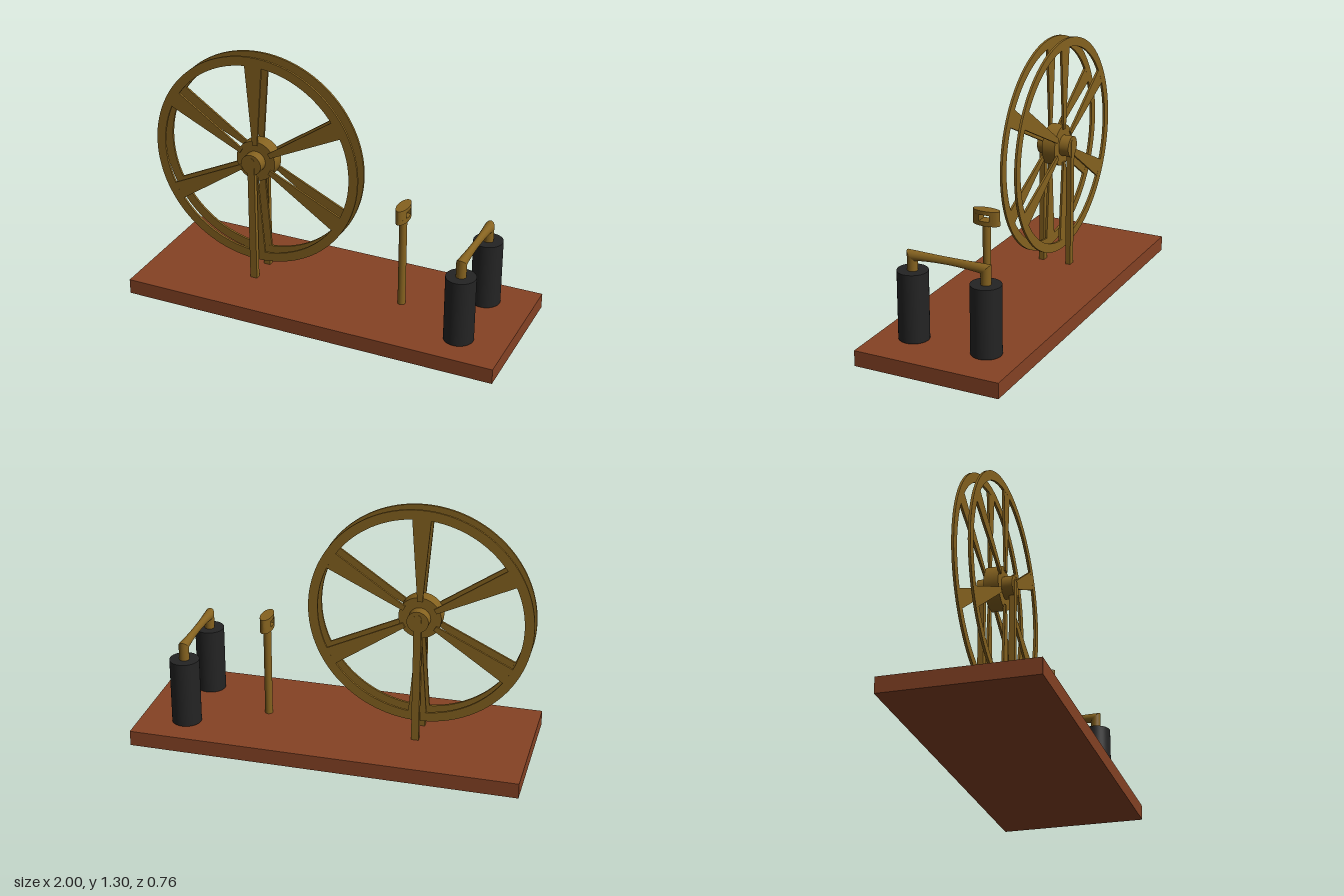
import * as THREE from 'three';

const brass = new THREE.MeshStandardMaterial({ color: 0x85621f });
brass.name = 'brass';
const wood = new THREE.MeshStandardMaterial({ color: 0x854224 });
wood.name = 'red wood';
const black = new THREE.MeshStandardMaterial({ color: 0x242424 });
black.name = 'black coil';

function add(parent, name, geometry, material, x = 0, y = 0, z = 0) {
  const mesh = new THREE.Mesh(geometry, material);
  mesh.name = name;
  mesh.position.set(x, y, z);
  parent.add(mesh);
  return mesh;
}

// Extrusion centred on its own depth
function plate(shape, depth) {
  const g = new THREE.ExtrudeGeometry(shape, { depth, bevelEnabled: false, curveSegments: 64 });
  return g.translate(0, 0, -depth / 2);
}

// Cylinder lying along z
const axle = (r, length) => new THREE.CylinderGeometry(r, r, length, 48).rotateX(Math.PI / 2);

function createWheel() {
  const wheel = new THREE.Group();
  wheel.name = 'wheel';
  wheel.position.set(-0.422, 0.735, 0);

  const ring = new THREE.Shape().absarc(0, 0, 0.567, 0, Math.PI * 2);
  ring.holes.push(new THREE.Path().absarc(0, 0, 0.519, 0, Math.PI * 2, true));
  const ringGeometry = plate(ring, 0.012);

  const spoke = new THREE.Shape([
    new THREE.Vector2(-0.013, 0.09), new THREE.Vector2(0.013, 0.09),
    new THREE.Vector2(0.047, 0.525), new THREE.Vector2(-0.047, 0.525),
  ]);
  const spokeGeometry = plate(spoke, 0.0115);

  // Twin rims, each with six flared spokes
  for (const z of [-0.039, 0.039]) {
    add(wheel, 'rim', ringGeometry, brass, 0, 0, z);
    for (let i = 0; i < 6; i++) {
      add(wheel, 'spoke', spokeGeometry, brass, 0, 0, z).rotation.z = i * Math.PI / 3;
    }
  }
  add(wheel, 'hub', axle(0.108, 0.072), brass);
  add(wheel, 'axle', axle(0.055, 0.178), brass);
  return wheel;
}

// Slotted oval head on a round post
function createPointer() {
  const pointer = new THREE.Group();
  pointer.name = 'slottedPost';
  pointer.position.set(0.375, 0, 0);
  add(pointer, 'post', new THREE.CylinderGeometry(0.02, 0.02, 0.49, 32), brass, 0, 0.32, 0);

  const rx = 0.031, rz = 0.072, slot = 0.028;
  const slab = (y0, y1) => {
    const g = new THREE.CylinderGeometry(1, 1, y1 - y0, 48);
    return g.scale(rx, 1, rz).translate(0, (y0 + y1) / 2, 0);
  };
  add(pointer, 'headBottom', slab(0.564, 0.587), brass);
  add(pointer, 'headTop', slab(0.62, 0.64), brass);

  // End caps of the oval on both sides of the slot
  const a = Math.acos(slot / rz);
  const cap = new THREE.Shape();
  for (let i = 0; i <= 16; i++) {
    const t = -a + (2 * a * i) / 16;
    const x = rz * Math.cos(t), y = rx * Math.sin(t);
    if (i) cap.lineTo(x, y); else cap.moveTo(x, y);
  }
  cap.closePath();
  const capGeometry = plate(cap, 0.034).rotateX(-Math.PI / 2).rotateY(Math.PI / 2);
  for (const turn of [0, Math.PI]) {
    add(pointer, 'headSide', capGeometry, brass, 0, 0.6035, 0).rotation.y = turn;
  }
  return pointer;
}

// Two coils joined by a mitred, slightly waisted yoke
function createMagnet() {
  const magnet = new THREE.Group();
  magnet.name = 'magnet';
  magnet.position.set(0.757, 0, 0);
  const r = 0.026, z0 = 0.194, top = 0.508;

  for (const side of [-1, 1]) {
    add(magnet, 'coil', new THREE.CylinderGeometry(0.076, 0.076, 0.35, 48), black, 0, 0.26, side * z0);
    const core = new THREE.CylinderGeometry(r, r, 0.1, 32, 1, true);
    const p = core.attributes.position;
    for (let i = 0; i < p.count; i++) {
      // Slant the upper end along the mitre
      if (p.getY(i) > 0) p.setY(i, 0.05 + side * p.getZ(i));
    }
    core.computeVertexNormals();
    add(magnet, 'core', core, brass, 0, top - 0.05, side * z0);
  }

  const bar = new THREE.CylinderGeometry(r, r, 2 * z0, 32, 16, true).rotateX(Math.PI / 2);
  const p = bar.attributes.position;
  for (let i = 0; i < p.count; i++) {
    const u = p.getZ(i) / z0;
    const waist = 0.68 + 0.32 * u * u;
    const y = p.getY(i);
    p.setX(i, p.getX(i) * waist);
    // Keep the top nearly level while the underside lifts
    p.setY(i, y > 0 ? y * (0.93 + 0.07 * u * u) : y * (0.5 + 0.5 * u * u));
    if (Math.abs(u) > 0.99) p.setZ(i, Math.sign(u) * (z0 + y));
  }
  bar.computeVertexNormals();
  add(magnet, 'yoke', bar, brass, 0, top, 0);
  return magnet;
}

export function createModel() {
  const model = new THREE.Group();
  model.name = 'wheelApparatus';
  add(model, 'base', new THREE.BoxGeometry(2, 0.08, 0.76), wood, 0, 0.04, 0);
  model.add(createWheel());

  // Round-topped uprights carrying the axle
  const upright = new THREE.Shape();
  upright.moveTo(-0.019, 0.075);
  upright.lineTo(0.019, 0.075);
  upright.lineTo(0.019, 0.755);
  upright.absarc(0, 0.755, 0.019, 0, Math.PI, false);
  upright.closePath();
  const uprightGeometry = plate(upright, 0.028);
  for (const z of [-0.077, 0.077]) add(model, 'upright', uprightGeometry, brass, -0.422, 0, z);

  model.add(createPointer(), createMagnet());
  return model;
}
